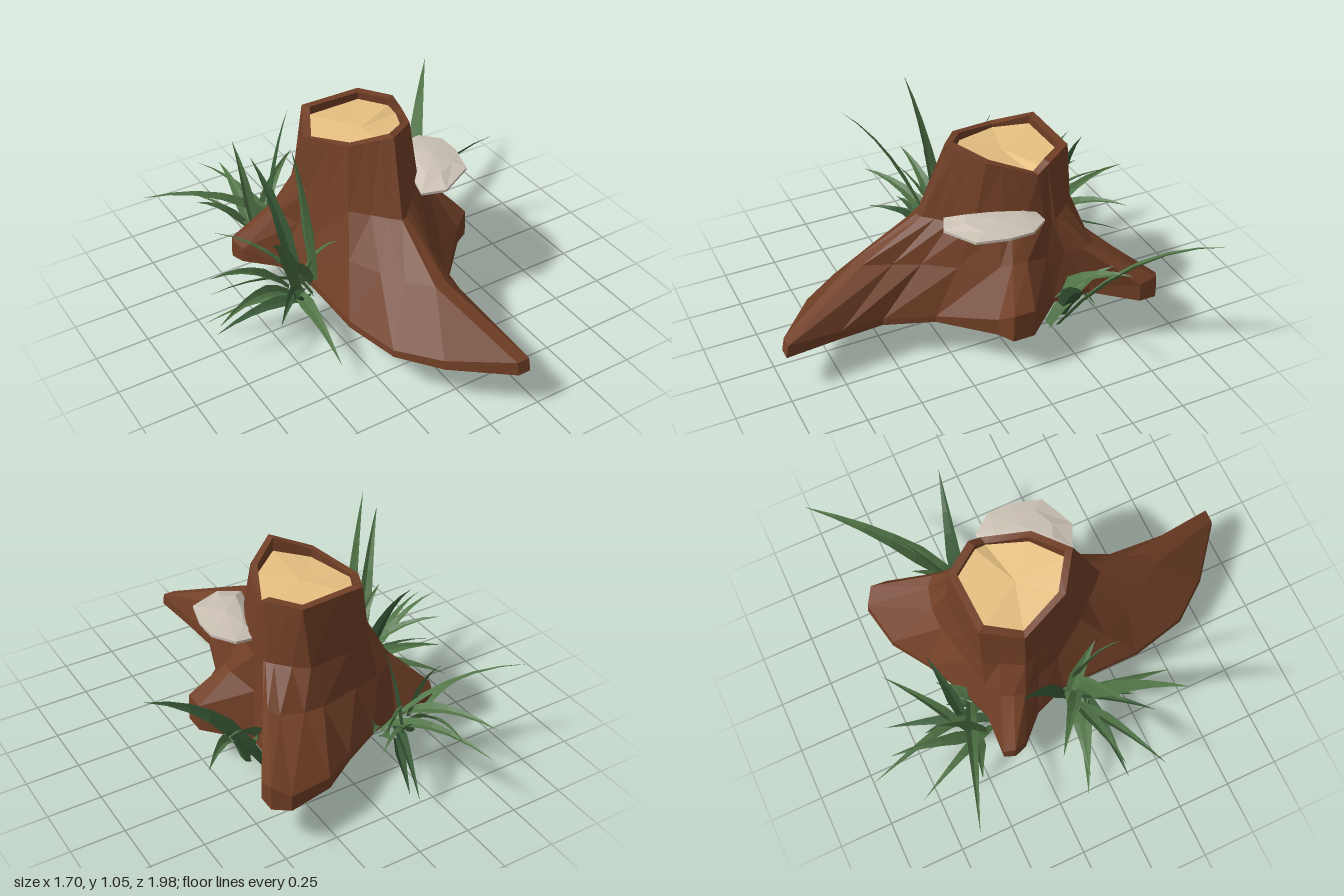
import * as THREE from 'three';

const mat = (name, color, side = THREE.FrontSide) =>
  Object.assign(new THREE.MeshStandardMaterial({ color, side }), { name });
const bark = mat('bark brown', 0x713f26);
const wood = mat('cut wood tan', 0xeac383);
const fungus = mat('fungus grey', 0xcbc1b5);
const leaf = mat('leaf green', 0x4f7345, THREE.DoubleSide);
const leafDark = mat('dark leaf green', 0x3a5c39, THREE.DoubleSide);
const V = (x, y, z) => new THREE.Vector3(x, y, z);

// Flat-shaded mesh from a list of triangle corners
function facetMesh(name, points, material) {
  const g = new THREE.BufferGeometry().setFromPoints(points);
  g.computeVertexNormals();
  const m = new THREE.Mesh(g, material);
  m.name = name;
  return m;
}

// Skin between rings that run counter-clockwise seen from above
function skin(rings) {
  const out = [], n = rings[0].length;
  for (let r = 0; r + 1 < rings.length; r++) {
    for (let i = 0; i < n; i++) {
      const j = (i + 1) % n;
      const [a, b, c, d] = [rings[r][i], rings[r][j], rings[r + 1][j], rings[r + 1][i]];
      out.push(a, b, c, a, c, d);
    }
  }
  return out;
}

// Fan closing a ring, facing up or down
function fan(ring, centre, up) {
  return ring.flatMap((p, i) => {
    const q = ring[(i + 1) % ring.length];
    return up ? [centre, p, q] : [centre, q, p];
  });
}

// Corners of the cut top: x, y, z
const TOP = [
  [0.29, 0.86, -0.15], [0.28, 0.90, -0.21], [0.18, 0.90, -0.35], [-0.12, 0.91, -0.34],
  [-0.21, 0.86, -0.17], [-0.12, 0.91, 0.06], [0.04, 0.96, 0.17], [0.20, 0.92, 0.05],
].map((p) => V(...p));

// Outline on the ground: x, z, height of the root's end face, place along the cut top, sideways bend
const BASE = [
  [0.45, 0.11, 0.08, 7.3], [0.52, 0.07, 0.13, 7.5], [0.52, -0.03, 0.13, 7.7],
  [0.35, -0.22, 0.03, 8], [0.36, -0.40, 0.03, 8.5], [0.51, -0.57, 0.09, 8.8],
  [0.51, -0.65, 0.11, 9], [0.44, -0.70, 0.07, 9.2], [0.23, -0.66, 0.05, 9.6],
  [0.06, -0.55, 0.03, 10], [-0.13, -0.45, 0.03, 10.6], [-0.28, -0.40, 0.03, 11],
  [-0.48, -0.41, 0.07, 11.4], [-0.50, -0.36, 0.09, 11.7], [-0.48, -0.30, 0.07, 12],
  [-0.36, -0.18, 0.03, 12.3], [-0.30, -0.02, 0.03, 12.6], [-0.30, 0.36, 0.03, 13],
  [-0.24, 0.62, 0.03, 13.4], [-0.10, 0.80, 0.04, 13.7, -0.04], [0.14, 0.99, 0.06, 14, -0.1],
  [0.20, 0.99, 0.06, 14.1, -0.08], [0.18, 0.74, 0.04, 14.3, -0.05],
  [0.17, 0.54, 0.03, 14.6, -0.02], [0.25, 0.32, 0.03, 15],
];

function makeStump() {
  const stump = new THREE.Group();
  stump.name = 'stump';
  const centre = V(0.04, 0, -0.1);
  // Each column runs: ground, root lip, root slope, shoulder, rim, inner rim, recessed wood
  const columns = BASE.map(([x, z, lip, k, bend = 0]) => {
    const i = Math.floor(k);
    const top = TOP[i % 8].clone().lerp(TOP[(i + 1) % 8], k - i);
    const ground = V(x, 0.2, z);
    const reach = Math.hypot(x - top.x, z - top.z);
    const flare = 0.04 + 0.09 * Math.max(0, z);
    const shoulder = top.clone().lerp(ground, Math.min(0.35, flare / reach)).setY(0.62);
    const edge = ground.clone().lerp(top, 0.015).setY(0.2 + lip);
    const slope = edge.clone().lerp(shoulder, z > 0.3 ? 0.58 : 0.67);
    slope.y = THREE.MathUtils.lerp(edge.y, shoulder.y, 0.54);
    slope.x += bend;
    shoulder.x += bend * 0.5;
    const inner = top.clone().lerp(centre.clone().setY(top.y), 0.14);
    return [ground, edge, slope, shoulder, top, inner,
      inner.clone().setY(0.865 + (top.y - 0.9) * 0.5)];
  });
  const rings = columns[0].map((_, r) => columns.map((c) => c[r]));
  stump.add(facetMesh('barkAndRoots',
    [...skin(rings), ...fan(rings[0], V(0.05, 0.2, -0.1), false)], bark));
  stump.add(facetMesh('cutWood', fan(rings[6], V(0.04, 0.865, -0.1), true), wood));
  return stump;
}

// Bracket fungus: narrow foot, wide thin rim, shallow domed top
function makeFungus() {
  const rim = [
    [0.20, 0.05], [0.15, 0.23], [0.25, 0.275], [0.41, 0.20],
    [0.45, 0.06], [0.45, -0.05], [0.38, -0.14], [0.28, -0.14],
  ].map(([x, z]) => V(x, 0.655 + 0.1 * (x - 0.15), z));
  const foot = V(0.25, 0.575, 0.04), crown = V(0.32, 0.715, 0.06);
  const rings = [
    rim.map((p) => p.clone().lerp(foot, 0.8).setY(0.58)),
    rim.map((p) => p.clone().lerp(foot, 0.42).setY(0.64)),
    rim,
    rim.map((p) => p.clone().setY(p.y + 0.012)),
    rim.map((p) => p.clone().lerp(crown, 0.4).setY(0.705)),
  ];
  return facetMesh('bracketFungus',
    [...skin(rings), ...fan(rings[0], foot, false), ...fan(rings[4], crown, true)], fungus);
}

// Folded blade bending from its base to a pointed tip, rolled about its length
function blade(base, tip, width, roll) {
  const dir = V(tip.x - base.x, 0, tip.z - base.z);
  const level = V(-dir.z, 0, dir.x).normalize();
  const bend = base.clone().lerp(tip, 0.4);
  bend.y = base.y + (tip.y - base.y) * 0.62 + 0.22 * dir.length();
  const curve = new THREE.QuadraticBezierCurve3(base, bend, tip);
  const rows = [], out = [], steps = 6;
  for (let i = 0; i <= steps; i++) {
    const t = i / steps, p = curve.getPoint(t), along = curve.getTangent(t);
    const w = width * 0.5 * Math.min(0.6 + 1.2 * t, 1, 1.5 * (1 - t));
    const side = level.clone().applyAxisAngle(along, roll);
    const fold = along.clone().cross(side).normalize().multiplyScalar(w * 0.4);
    rows.push([p.clone().addScaledVector(side, -w), p.clone().add(fold),
      p.clone().addScaledVector(side, w)]);
  }
  for (let i = 0; i < steps; i++) {
    for (let s = 0; s < 2; s++) {
      const [a, b, c, d] = [rows[i][s], rows[i][s + 1], rows[i + 1][s + 1], rows[i + 1][s]];
      out.push(a, b, c, a, c, d);
    }
  }
  return out;
}

// Tuft of blades fanning from one root to the given tips
function makeTuft(name, root, width, spread, tips) {
  const tuft = new THREE.Group();
  tuft.name = name;
  const light = [], dark = [];
  tips.forEach((t, i) => {
    const base = V(...root).add(
      V(Math.cos(i * 2.4) * spread, Math.sin(i * 1.7) * 0.02, Math.sin(i * 2.4) * spread * 0.7));
    const roll = (i % 2 ? 1 : -1) * (0.3 + 0.15 * (i % 3));
    (i % 4 === 2 ? dark : light).push(...blade(base, V(...t), width, roll));
  });
  tuft.add(facetMesh('lightBlades', light, leaf), facetMesh('darkBlades', dark, leafDark));
  return tuft;
}

export function createModel() {
  const model = new THREE.Group();
  model.name = 'treeStump';
  model.add(makeStump(), makeFungus());
  model.add(makeTuft('backGrass', [-0.26, 0.19, -0.44], 0.06, 0.09, [
    [-0.80, 0.46, -0.66], [-0.53, 0.30, -0.82], [-0.07, 0.75, -0.57], [-0.37, 0.32, -0.99],
    [-0.30, 0.36, -0.88], [-0.20, 0.40, -0.56], [-0.10, 0.12, -0.85], [0.05, 0.38, -0.77],
    [-0.05, 0.30, -0.56], [-0.33, 0.62, -0.65], [-0.17, 0.00, -0.69], [0.12, 0.36, -0.45],
    [-0.58, 0.42, -0.55], [-0.15, 0.22, -0.55],
  ]));
  model.add(makeTuft('sideGrass', [-0.34, 0.19, 0.02], 0.065, 0.06, [
    [-0.44, 1.05, 0.15], [-0.68, 0.80, 0.38], [-0.42, 0.77, -0.28], [-0.66, 0.50, -0.20],
    [-0.85, 0.35, 0.22], [-0.75, 0.25, -0.10], [-0.80, 0.17, 0.07], [-0.41, 0.12, 0.48],
    [-0.36, 0.70, 0.10], [-0.78, 0.08, -0.12], [-0.60, 0.30, 0.30], [-0.63, 0.06, -0.07],
    [-0.80, 0.46, 0.04], [-0.56, 0.52, 0.16], [-0.50, 0.34, 0.24], [-0.24, 0.52, 0.16],
  ]));
  model.add(makeTuft('rightGrass', [0.32, 0.11, -0.22], 0.085, 0.07, [
    [0.85, 0.65, -0.78], [0.62, 0.45, -0.45], [0.82, 0.54, -0.14], [0.46, 0.40, -0.45],
  ]));
  return model;
}
